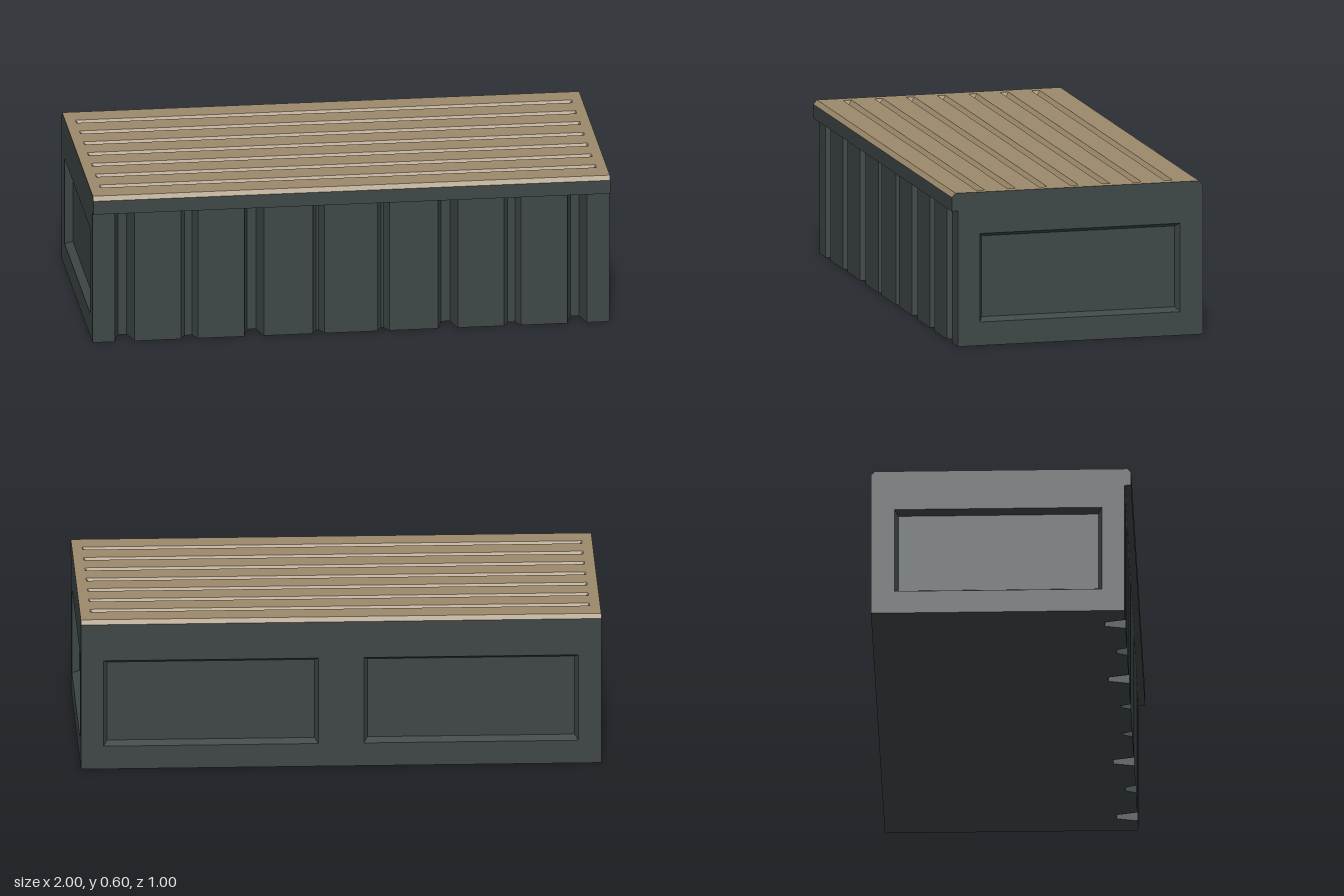
import * as THREE from 'three';
import { mergeGeometries } from 'three/addons/utils/BufferGeometryUtils.js';

const HALF_X = 1, TOP = 0.6, BACK = -0.5, FRONT = 0.475, LIP = 0.5, LIP_Y = 0.53;
const CHAMFER_Y = 0.584, CHAMFER_Z = 0.015;

// Flat-shaded geometry from quads, each listed counter-clockwise
function quadGeometry(quads) {
  const points = [];
  for (const [a, b, c, d] of quads) points.push(...a, ...b, ...c, ...a, ...c, ...d);
  const geometry = new THREE.BufferGeometry();
  geometry.setAttribute('position', new THREE.Float32BufferAttribute(points, 3));
  geometry.computeVertexNormals();
  return geometry;
}

const rectPoints = (x0, y0, x1, y1) => [[x0, y0], [x1, y0], [x1, y1], [x0, y1]];
const toVectors = (points) => points.map(([x, y]) => new THREE.Vector2(x, y));

// Face in the XY plane looking along +z, with sunken rectangles that have sloped walls
function recessedFace(outline, recesses = [], inset = 0, depth = 0) {
  const shape = new THREE.Shape(toVectors(outline));
  const quads = [];
  for (const [x0, y0, x1, y1] of recesses) {
    const rim = rectPoints(x0, y0, x1, y1);
    shape.holes.push(new THREE.Path(toVectors(rim).reverse()));
    const outer = rim.map(([x, y]) => [x, y, 0]);
    const inner = rectPoints(x0 + inset, y0 + inset, x1 - inset, y1 - inset)
      .map(([x, y]) => [x, y, -depth]);
    for (let i = 0; i < 4; i++) {
      const j = (i + 1) % 4;
      quads.push([outer[i], outer[j], inner[j], inner[i]]);
    }
    quads.push(inner);
  }
  const face = new THREE.ShapeGeometry(shape).toNonIndexed();
  face.deleteAttribute('uv');
  return quads.length ? mergeGeometries([face, quadGeometry(quads)]) : face;
}

// Plan of the grooved front as [x, z] points from -x to +x
function frontOutline() {
  const deep = { half: 0.038, slope: 0.021, depth: 0.08 };
  const wide = { half: 0.033, slope: 0.018, depth: 0.04 };
  const narrow = { half: 0.023, slope: 0.018, depth: 0.04 };
  const grooves = [deep, wide, deep, narrow, narrow, deep, wide, deep];
  const points = [[-HALF_X, FRONT]];
  grooves.forEach(({ half, slope, depth }, i) => {
    const x = -0.875 + i * 0.25;
    points.push([x - half, FRONT], [x - half + slope, FRONT - depth],
      [x + half - slope, FRONT - depth], [x + half, FRONT]);
  });
  points.push([HALF_X, FRONT]);
  return points;
}

export function createModel() {
  const dark = new THREE.MeshStandardMaterial({ color: 0x3d4545 });
  dark.name = 'dark slate';
  const tan = new THREE.MeshStandardMaterial({ color: 0x9b896b });
  tan.name = 'tan wood';

  const model = new THREE.Group();
  model.name = 'slattedBench';
  const add = (name, geometry, material) => {
    const mesh = new THREE.Mesh(geometry, material);
    mesh.name = name;
    model.add(mesh);
  };

  // End walls with one sunken panel each; side is +1 or -1 along x
  for (const side of [1, -1]) {
    const profile = [
      [BACK, 0], [FRONT, 0], [FRONT, LIP_Y], [LIP, LIP_Y], [LIP, CHAMFER_Y],
      [LIP - CHAMFER_Z, TOP], [BACK + CHAMFER_Z, TOP], [BACK, CHAMFER_Y],
    ].map(([z, y]) => [-side * z, y]);
    const panel = side > 0 ? [-0.388, 0.092, 0.41, 0.438] : [-0.41, 0.092, 0.388, 0.438];
    const wall = recessedFace(profile, [panel], 0.015, 0.03);
    wall.rotateY(side * Math.PI / 2).translate(side * HALF_X, 0, 0);
    add(side > 0 ? 'leftEndWall' : 'rightEndWall', wall, dark);
  }

  // Back wall with two sunken panels
  const back = recessedFace(rectPoints(-HALF_X, 0, HALF_X, CHAMFER_Y),
    [[-0.913, 0.092, -0.087, 0.438], [0.087, 0.092, 0.913, 0.438]], 0.015, 0.03);
  add('backWall', back.rotateY(Math.PI).translate(0, 0, BACK), dark);

  // Front wall with vertical grooves
  const outline = frontOutline();
  const boards = [];
  for (let i = 0; i + 1 < outline.length; i++) {
    const [x0, z0] = outline[i], [x1, z1] = outline[i + 1];
    boards.push([[x0, 0, z0], [x1, 0, z1], [x1, LIP_Y, z1], [x0, LIP_Y, z0]]);
  }
  add('groovedFront', quadGeometry(boards), dark);

  // Underside follows the grooved plan
  const base = recessedFace([[-HALF_X, BACK], ...[[HALF_X, BACK]], ...outline.slice().reverse()]);
  add('underside', base.rotateX(Math.PI / 2), dark);

  // Overhanging front lip and its underside
  add('frontLip', quadGeometry([
    [[-HALF_X, LIP_Y, LIP], [HALF_X, LIP_Y, LIP], [HALF_X, CHAMFER_Y, LIP], [-HALF_X, CHAMFER_Y, LIP]],
    [[-HALF_X, LIP_Y, 0.38], [HALF_X, LIP_Y, 0.38], [HALF_X, LIP_Y, LIP], [-HALF_X, LIP_Y, LIP]],
  ]), dark);

  // Seat top with seven V-shaped slots
  const slots = [];
  for (let i = 0; i < 7; i++) {
    const y = -0.375 + i * 0.125;
    slots.push([-0.96, y - 0.016, 0.96, y + 0.016]);
  }
  const edge = LIP - CHAMFER_Z;
  const top = recessedFace(rectPoints(-HALF_X, -edge, HALF_X, edge), slots, 0.0145, 0.016);
  add('seatTop', top.rotateX(-Math.PI / 2).translate(0, TOP, 0), tan);

  // Chamfered long edges of the seat
  for (const side of [1, -1]) {
    const x = side * HALF_X;
    add(side > 0 ? 'frontChamfer' : 'backChamfer', quadGeometry([[
      [-x, CHAMFER_Y, side * LIP], [x, CHAMFER_Y, side * LIP],
      [x, TOP, side * edge], [-x, TOP, side * edge],
    ]]), tan);
  }

  return model;
}
